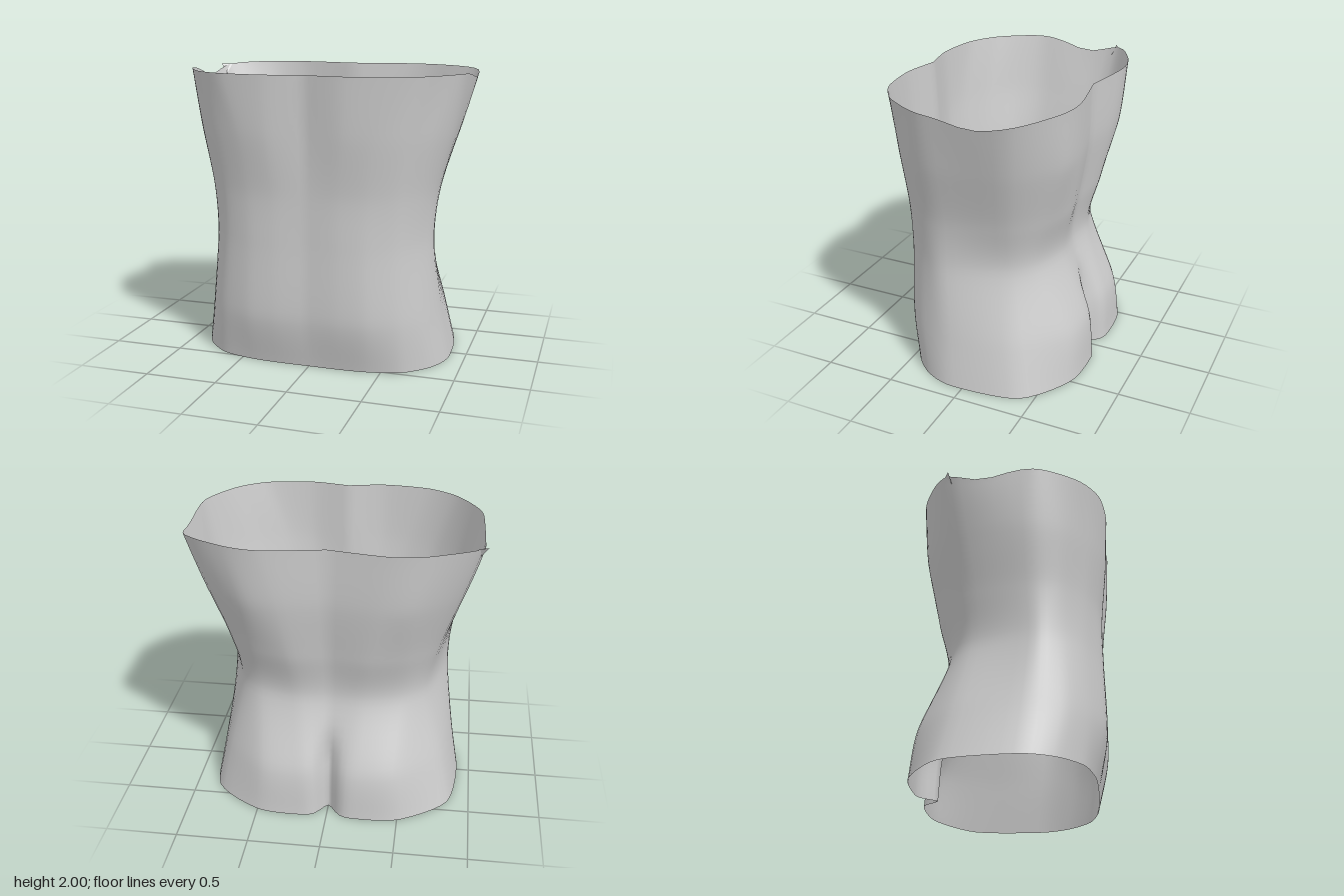
import * as THREE from 'three';

// Half cross-sections [x, z], running front centre -> left side -> back centre
const hem = [[0, .545], [.22, .545], [.42, .53], [.64, .47], [.81, .31], [.89, .08], [.83, -.4], [.5, -.65], [.17, -.678], [0, -.63]];
const hips = [[0, .605], [.22, .62], [.42, .6], [.62, .51], [.76, .36], [.835, .12], [.76, -.33], [.48, -.6], [.19, -.645], [0, -.6]];
const waist = [[0, .6], [.22, .615], [.41, .59], [.6, .5], [.73, .34], [.78, .16], [.65, -.24], [.5, -.39], [.23, -.467], [0, -.45]];
const midriff = [[0, .6], [.22, .615], [.42, .59], [.61, .51], [.75, .35], [.805, .15], [.72, -.26], [.53, -.45], [.27, -.53], [0, -.49]];
const ribcage = [[0, .61], [.25, .655], [.46, .63], [.66, .54], [.82, .37], [.9, .14], [.85, -.32], [.57, -.56], [.33, -.6], [0, -.55]];
const rim = [[0, .63], [.27, .677], [.58, .635], [.78, .51], [.92, .31], [.975, .13], [.965, -.37], [.68, -.57], [.42, -.625], [0, -.56]];
const LEVELS = [[0, hem], [.35, hips], [.85, waist], [1.2, midriff], [1.6, ribcage], [2, rim]];
const ROWS = 40, HALF = 48, COLS = HALF * 2;

const spline = points => new THREE.CatmullRomCurve3(points, false, 'catmullrom', 0.4);

// Smooth vertical ribs through the matching points of every section
const ribs = hem.map((_, i) => spline(
  LEVELS.map(([y, section]) => new THREE.Vector3(section[i][0], y, section[i][1]))));

function shapeSide(v, side) {
  // Narrow crease down the middle of the lower back
  if (v.z < 0) v.z += 0.08 * Math.exp(-((v.x / 0.06) ** 2)) * (1 - THREE.MathUtils.smoothstep(v.y, 0.35, 0.68));
  // Rim sagging at the sides, a little more on the right
  const depth = side < 0 ? 0.08 : 0.045;
  const sag = Math.exp(-(((v.z + 0.16) / 0.2) ** 2)) * Math.min(1, Math.abs(v.x) / 0.8);
  v.y -= depth * sag * THREE.MathUtils.smoothstep(v.y, 1.5, 2);
  // Mirror to the right, slightly wider below
  if (side < 0) v.x *= -(1 + 0.022 * (1 - v.y / 2));
  return v;
}

function shellGeometry() {
  const positions = [], index = [];
  for (let r = 0; r <= ROWS; r++) {
    const ring = spline(ribs.map(rib => rib.getPoint(r / ROWS)));
    for (let c = 0; c < COLS; c++) {
      const side = c <= HALF ? 1 : -1;
      const t = (side > 0 ? c : COLS - c) / HALF;
      positions.push(...shapeSide(ring.getPoint(t), side).toArray());
      if (r === ROWS) continue;
      const a = r * COLS + c, b = r * COLS + (c + 1) % COLS;
      index.push(a, b, b + COLS, a, b + COLS, a + COLS);
    }
  }
  const g = new THREE.BufferGeometry();
  g.setAttribute('position', new THREE.Float32BufferAttribute(positions, 3));
  g.setIndex(index);
  g.computeVertexNormals();
  return g;
}

export function createModel() {
  const group = new THREE.Group();
  group.name = 'torsoShell';
  const grey = new THREE.MeshStandardMaterial({ color: 0xcccccc, side: THREE.DoubleSide });
  grey.name = 'light grey';

  // Open tubular body
  const body = new THREE.Mesh(shellGeometry(), grey);
  body.name = 'torsoBody';
  group.add(body);

  // Small torn corner on the right of the upper rim
  const tab = new THREE.BufferGeometry();
  tab.setAttribute('position', new THREE.Float32BufferAttribute(
    [-.93, 1.985, -.41, -.95, 1.91, -.35, -1, 1.985, -.375], 3));
  tab.computeVertexNormals();
  const rimTab = new THREE.Mesh(tab, grey);
  rimTab.name = 'rimTab';
  group.add(rimTab);
  return group;
}
